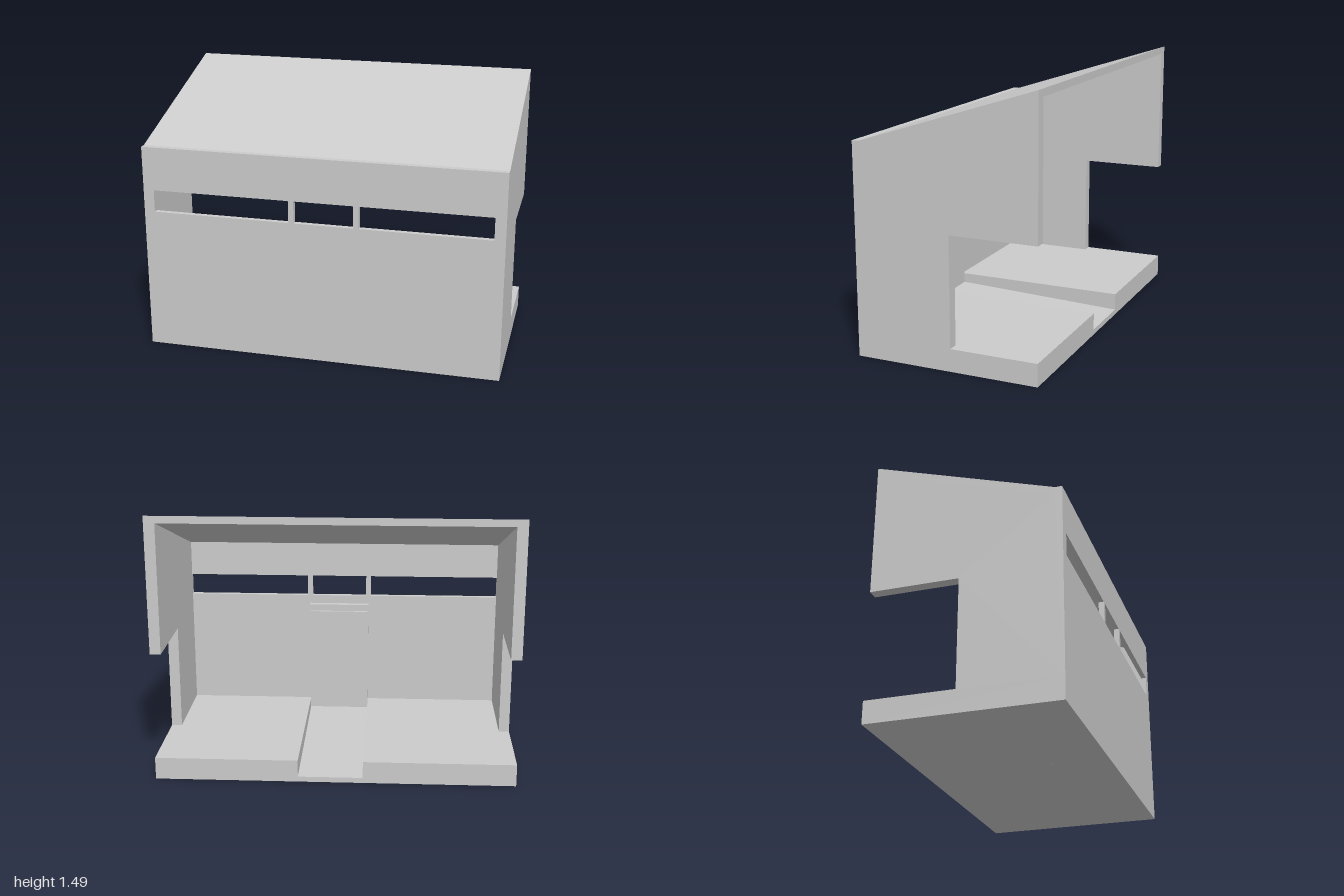
import * as THREE from 'three';

const D = 0.517;        // half depth
const SIDE = 0.06;      // side wall thickness
const FRONT = 0.03;     // front wall thickness
const DOOR = [-0.155, 0.205]; // bay between the window posts

export function createModel() {
  const group = new THREE.Group();
  const mat = new THREE.MeshStandardMaterial({ color: 0xcccccc });

  const add = (name, geo) => {
    const mesh = new THREE.Mesh(geo, mat);
    mesh.name = name;
    group.add(mesh);
    return mesh;
  };

  // Box given by its limits
  const box = (name, x0, x1, y0, y1, z0, z1) => {
    const geo = new THREE.BoxGeometry(x1 - x0, y1 - y0, z1 - z0);
    geo.translate((x0 + x1) / 2, (y0 + y1) / 2, (z0 + z1) / 2);
    return add(name, geo);
  };

  // Side profile of [z, y] points, extruded from x0 to x1
  const profile = (name, points, x0, x1) => {
    const shape = new THREE.Shape(points.map(([z, y]) => new THREE.Vector2(z, y)));
    const geo = new THREE.ExtrudeGeometry(shape, { depth: x1 - x0, bevelEnabled: false });
    geo.rotateY(-Math.PI / 2);
    geo.translate(x1, 0, 0);
    return add(name, geo);
  };

  // Floor in two halves with a shallow ramp between them
  box('floorRight', -1, DOOR[0], 0, 0.125, -D, D);
  box('floorLeft', DOOR[1], 1, 0, 0.125, -D, D);
  profile('entryRamp', [[-D, 0], [D - FRONT, 0], [D - FRONT, 0.07], [-D, 0.03]], DOOR[0], DOOR[1]);
  box('doorSill', DOOR[0], DOOR[1], 0, 0.125, D - FRONT, D);

  // Side walls: short below, full depth above, sloped under the roof
  const sidePoints = [
    [D, 0.125], [D, 1.13], [0.48, 1.13], [-D, 1.45],
    [-D, 0.73], [-0.03, 0.73], [-0.03, 0.125],
  ];
  profile('sideWallLeft', sidePoints, 1 - SIDE, 1);
  profile('sideWallRight', sidePoints, -1, -1 + SIDE);

  // Front wall, header and the two posts in the window slot
  const inner = 1 - SIDE;
  box('frontWall', -inner, inner, 0.125, 0.8, D - FRONT, D);
  box('windowHeader', -inner, inner, 0.925, 1.13, D - FRONT, D);
  for (const x of [DOOR[0], DOOR[1]]) {
    box('windowPost', x - 0.015, x + 0.015, 0.8, 0.925, D - FRONT, D);
  }

  // Inner panel with a small ledge
  box('innerPanel', DOOR[0], DOOR[1], 0.06, 0.7, 0.472, D - FRONT);
  box('panelLedge', DOOR[0], DOOR[1], 0.72, 0.75, 0.45, D - FRONT);

  // Sloping roof slab
  profile('roof', [
    [D, 1.13], [D, 1.17], [0.48, 1.17], [-D, 1.49], [-D, 1.45], [0.48, 1.13],
  ], -1, 1);

  return group;
}
